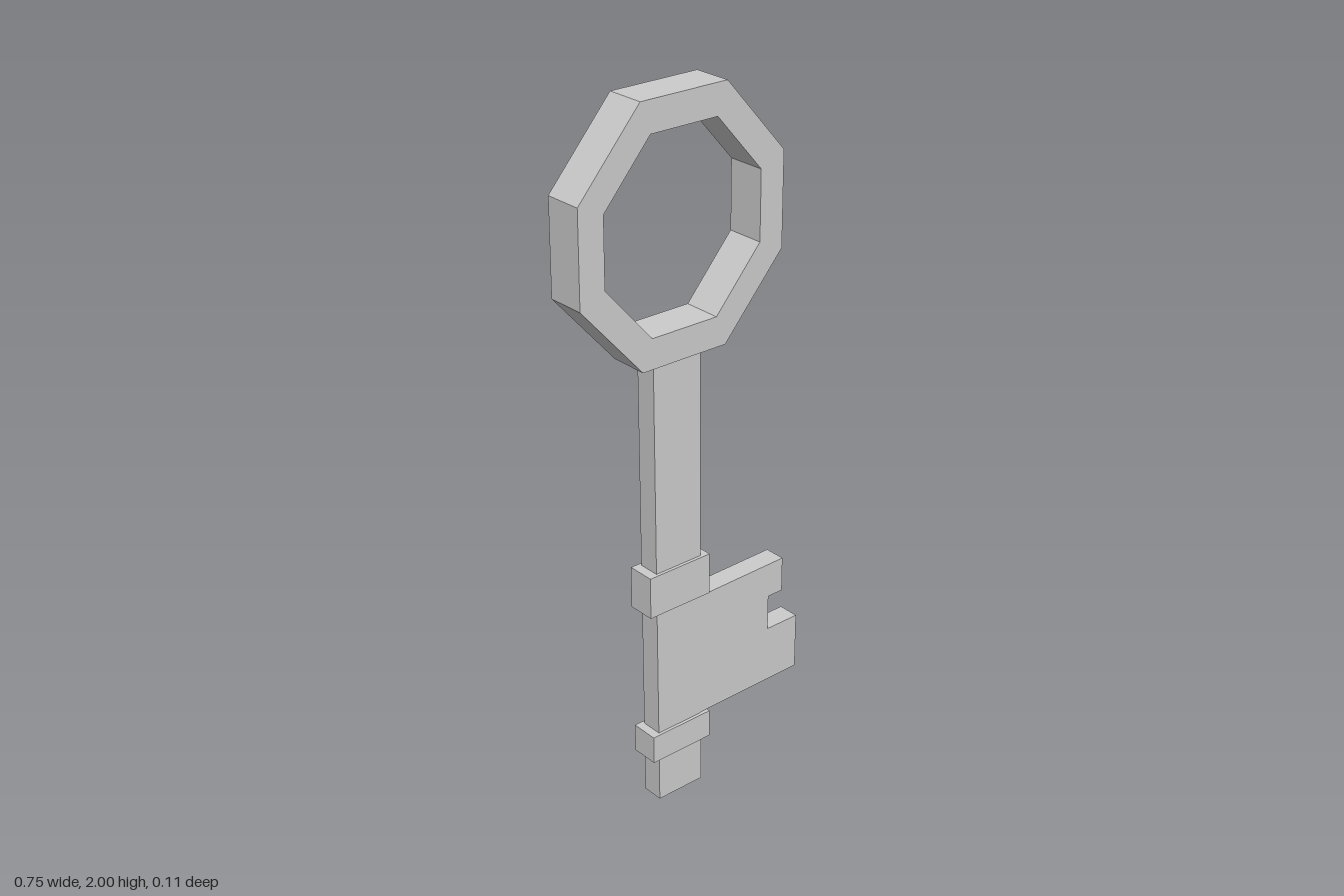
import * as THREE from 'three';

const material = new THREE.MeshStandardMaterial({ color: 0xcccccc, flatShading: true });

// Flat plate cut from a counter-clockwise outline, centred on z = 0
function plate(name, outline, depth, hole) {
  const toPoints = (list) => list.map(([x, y]) => new THREE.Vector2(x, y));
  const shape = new THREE.Shape(toPoints(outline));
  if (hole) shape.holes.push(new THREE.Path(toPoints(hole)));
  const geometry = new THREE.ExtrudeGeometry(shape, { depth, bevelEnabled: false });
  geometry.translate(0, 0, -depth / 2);
  const mesh = new THREE.Mesh(geometry, material);
  mesh.name = name;
  return mesh;
}

// Rectangular collar around the shaft
function collar(name, x0, x1, y0, y1, depth) {
  const mesh = new THREE.Mesh(new THREE.BoxGeometry(x1 - x0, y1 - y0, depth), material);
  mesh.position.set((x0 + x1) / 2, (y0 + y1) / 2, 0);
  mesh.name = name;
  return mesh;
}

// Eight-sided outline: half width and height, and half length of the flat sides
function octagon(cx, cy, w, h, flatX, flatY) {
  return [
    [-flatX, h], [-w, flatY], [-w, -flatY], [-flatX, -h],
    [flatX, -h], [w, -flatY], [w, flatY], [flatX, h],
  ].map(([x, y]) => [cx + x, cy + y]);
}

export function createModel() {
  const key = new THREE.Group();
  key.name = 'key';

  // Octagonal handle ring
  key.add(plate('bow',
    octagon(-0.055, 1.66, 0.32, 0.34, 0.133, 0.129), 0.11,
    octagon(-0.055, 1.66, 0.245, 0.257, 0.103, 0.095)));

  // Shaft and notched bit in one plate
  key.add(plate('shaftAndBit', [
    [-0.136, 1.325], [-0.126, 0], [0.024, 0], [0.022, 0.222],
    [0.375, 0.225], [0.375, 0.392], [0.267, 0.392], [0.267, 0.497],
    [0.317, 0.497], [0.317, 0.6], [0.02, 0.595], [0.017, 1.325],
  ], 0.062));

  // Collars above and below the bit
  key.add(collar('upperCollar', -0.159, 0.043, 0.6, 0.72, 0.08));
  key.add(collar('lowerCollar', -0.153, 0.046, 0.138, 0.22, 0.08));

  return key;
}
